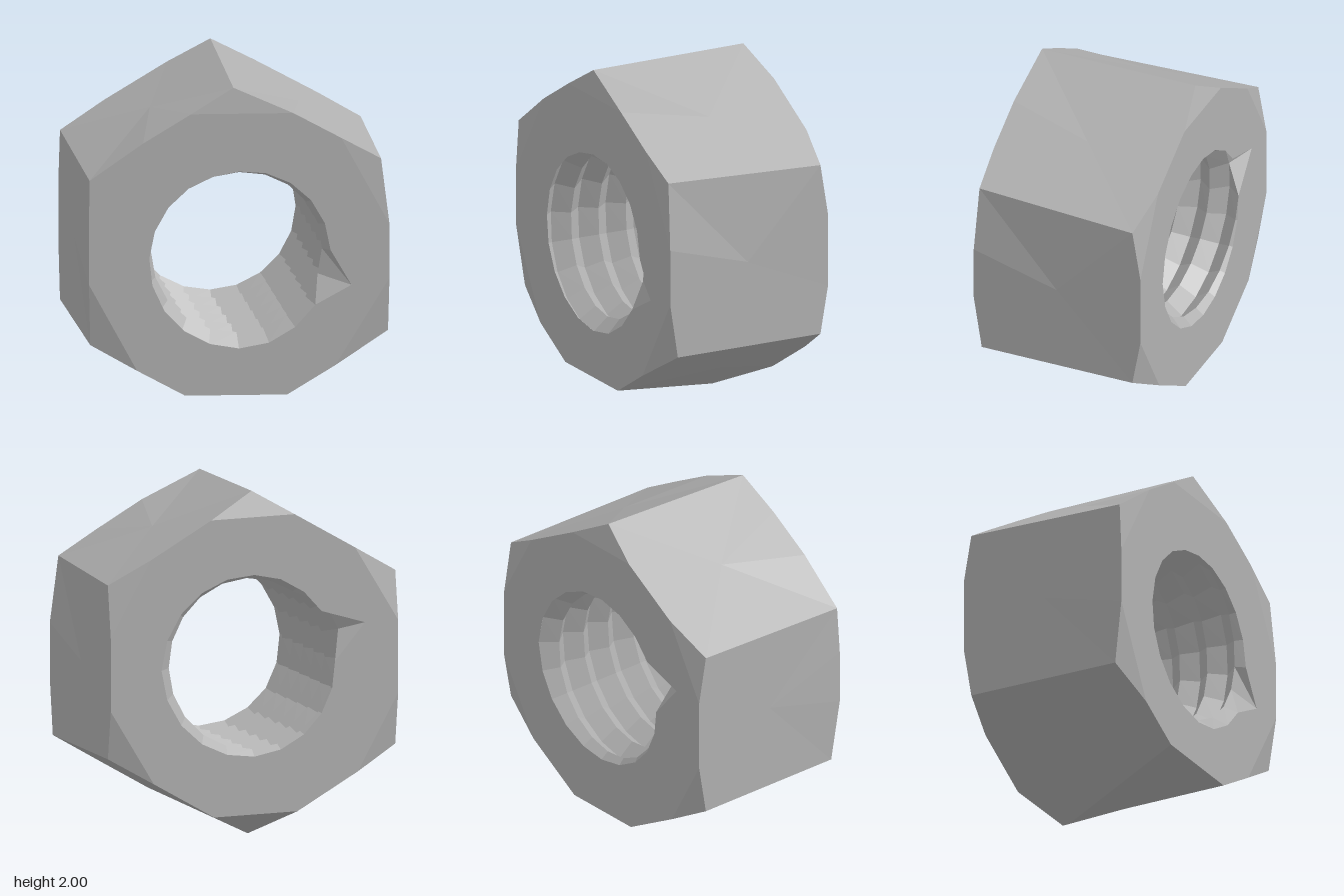
import * as THREE from 'three';

const CY = 1, HALF = 0.52;                       // bore axis height, half thickness
const PITCH = 0.18, CREST = 0.485, DEPTH = 0.075; // thread
const PHASE = 0.389, SEG = 20;
const V = (x, y, z) => new THREE.Vector3(x, y, z);

// Flat triangles from a list of points, skipping collapsed ones
function facets(triangles) {
  const pos = [];
  for (const [a, b, c] of triangles) {
    const area = b.clone().sub(a).cross(c.clone().sub(a)).length();
    if (area > 1e-7) for (const p of [a, b, c]) pos.push(p.x, p.y, p.z);
  }
  const g = new THREE.BufferGeometry();
  g.setAttribute('position', new THREE.Float32BufferAttribute(pos, 3));
  g.computeVertexNormals();
  return g;
}

// Hexagon corners, anticlockwise from the upper +x one
const hex = (i) => {
  const a = Math.PI / 6 + (i % 6) * Math.PI / 3;
  return V(Math.cos(a), CY + Math.sin(a), 0);
};
const brokenTip = V(-0.04, 0, -0.29);
const frontCorners = [
  V(0.82, 1.525, 0.505), V(-0.03, 1.98, 0.5), V(-0.86, 1.47, 0.505),
  V(-0.85, 0.49, 0.47), brokenTip, V(0.866, 0.5, 0.47),
];
const backCorners = frontCorners.map((p, i) => (i === 4 ? brokenTip : hex(i).setZ(-0.47)));

// Two points on the rim of each side where the corner chamfers start
const rim = (side, t, z) => hex(side).lerp(hex(side + 1), t).setZ(z);
const frontRim = [], backRim = [];
for (let i = 0; i < 6; i++) {
  frontRim.push([rim(i, 0.32, HALF), rim(i, 0.64, HALF)]);
  backRim.push([rim(i, 0.28, -HALF), rim(i, 0.7, -HALF)]);
}

// Thread surface: triangular profile winding along z, with a nick at each mouth
function borePoint(i, z) {
  const turn = i / SEG, a = turn * Math.PI * 2;
  z = THREE.MathUtils.clamp(z, -HALF, HALF);
  const u = z / PITCH - turn + PHASE;
  let r = CREST + DEPTH * (1 - Math.abs(2 * (u - Math.floor(u)) - 1));
  if (z === HALF && i === 19) r = 0.68;
  if (z === -HALF && i === 9) r = 0.7;
  return V(r * Math.cos(a), CY + r * Math.sin(a), z);
}

function sides() {
  const tris = [];
  for (let i = 0; i < 6; i++) {
    const j = (i + 1) % 6;
    const loop = [backCorners[i], ...backRim[i], backCorners[j],
      frontCorners[j], frontRim[i][1], frontRim[i][0], frontCorners[i]];
    const mid = V(0, 0, 0);
    loop.forEach((p) => mid.addScaledVector(p, 1 / loop.length));
    loop.forEach((p, k) => tris.push([mid, p, loop[(k + 1) % loop.length]]));
  }
  return facets(tris);
}

function chamfers(corners, rims, flip) {
  return facets(corners.map((c, i) => {
    const before = rims[(i + 5) % 6][1], after = rims[i][0];
    return flip ? [after, c, before] : [before, c, after];
  }));
}

// Flat end face with the bore mouth cut out
function endFace(rims, z) {
  const flat = (p) => new THREE.Vector2(p.x, p.y);
  const shape = new THREE.Shape(rims.flat().map(flat));
  const mouth = Array.from({ length: SEG }, (_, i) => flat(borePoint(i, z)));
  shape.holes.push(new THREE.Path(mouth));
  const g = new THREE.ShapeGeometry(shape);
  if (z < 0) {
    g.index.array.reverse();
    g.computeVertexNormals();
  }
  return g.translate(0, 0, z);
}

function thread() {
  const tris = [];
  const at = (i, k) => borePoint(i, PITCH * (k / 2 - PHASE + i / SEG));
  for (let i = 0; i < SEG; i++) {
    for (let k = -10; k < 10; k++) {
      const a = at(i, k), b = at(i, k + 1), c = at(i + 1, k), d = at(i + 1, k + 1);
      tris.push([a, b, c], [b, d, c]);
    }
  }
  return facets(tris);
}

export function createModel() {
  const steel = new THREE.MeshStandardMaterial({ color: 0xb0b0b0, flatShading: true });
  steel.name = 'steel grey';
  const group = new THREE.Group();
  group.name = 'hexNut';
  const add = (name, geometry) => {
    const mesh = new THREE.Mesh(geometry, steel);
    mesh.name = name;
    group.add(mesh);
  };
  add('hexSides', sides());
  add('frontFace', endFace(frontRim, HALF));
  add('backFace', endFace(backRim, -HALF));
  add('frontChamfers', chamfers(frontCorners, frontRim, false));
  add('backChamfers', chamfers(backCorners, backRim, true));
  add('innerThread', thread());
  return group;
}
